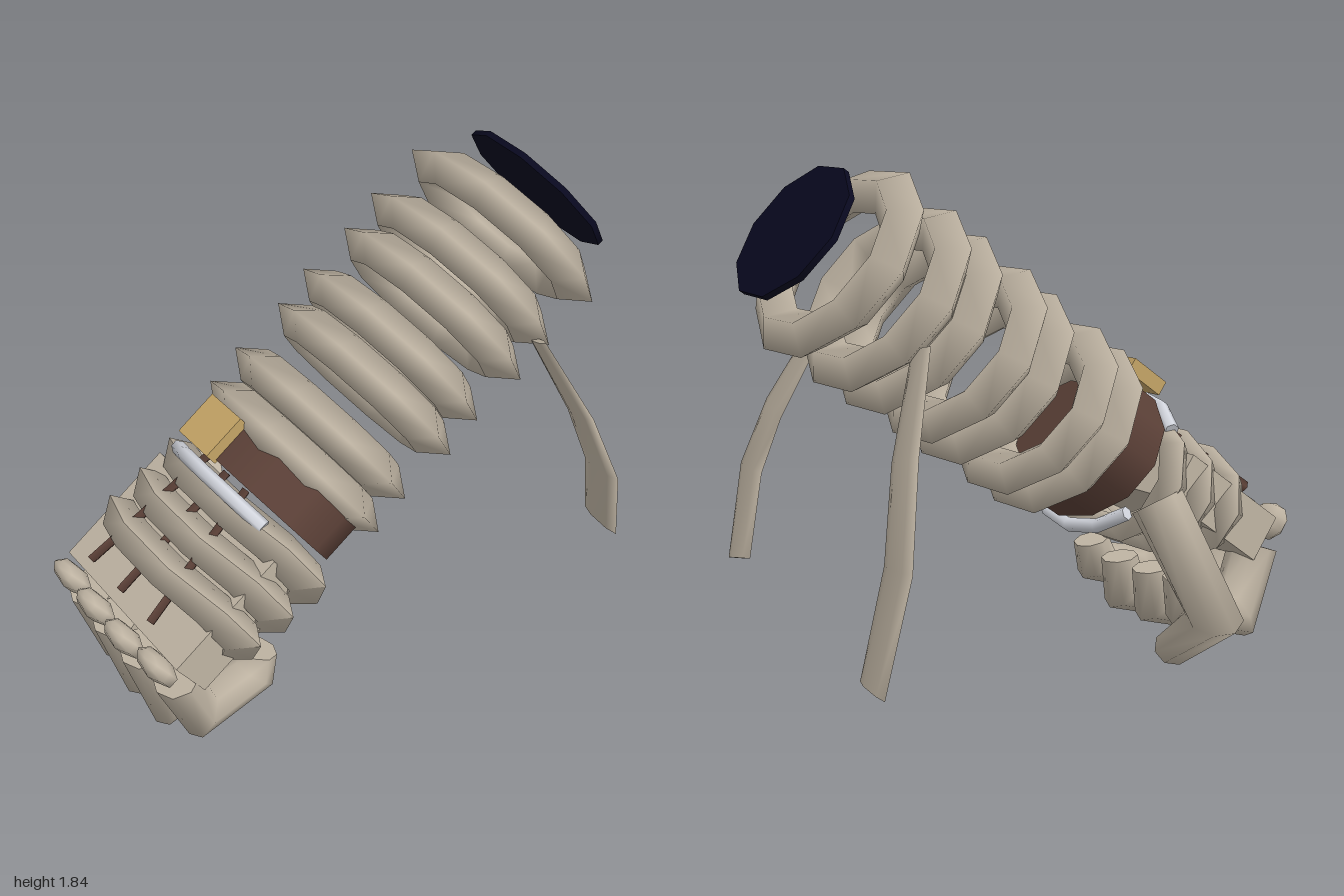
import * as THREE from 'three';

const TILT = THREE.MathUtils.degToRad(35); // slope of the forearm
const V = (a) => new THREE.Vector3(...a);

// Mitred low-poly sweep along a polyline; each section has half sizes [w, h]
function sweep(points, sizes, side, sides) {
  const path = points.map(V), pos = [], idx = [];
  const dirs = path.slice(1).map((p, i) => p.clone().sub(path[i]).normalize());
  path.forEach((p, i) => {
    const d0 = dirs[Math.max(0, i - 1)], d1 = dirs[Math.min(dirs.length - 1, i)];
    const t = d0.clone().add(d1).normalize();
    const mitre = 1 / Math.max(0.6, t.dot(d1));
    const s = side.clone().addScaledVector(t, -side.dot(t)).normalize();
    const up = t.clone().cross(s);
    const [w, h] = sizes[i];
    for (let k = 0; k < sides; k++) {
      const a = (k / sides) * Math.PI * 2;
      const q = p.clone().addScaledVector(s, Math.cos(a) * w).addScaledVector(up, Math.sin(a) * h * mitre);
      pos.push(q.x, q.y, q.z);
    }
  });
  const n = path.length;
  for (let i = 0; i < n - 1; i++) {
    for (let k = 0; k < sides; k++) {
      const k1 = (k + 1) % sides;
      const a = i * sides + k, b = i * sides + k1, c = b + sides, d = a + sides;
      idx.push(a, b, c, a, c, d);
    }
  }
  // end caps with their own vertices keep a sharp rim
  for (const [row, flip] of [[0, true], [n - 1, false]]) {
    const base = pos.length / 3;
    for (let k = 0; k < sides; k++) {
      const o = (row * sides + k) * 3;
      pos.push(pos[o], pos[o + 1], pos[o + 2]);
    }
    for (let k = 1; k < sides - 1; k++) {
      idx.push(base, base + (flip ? k + 1 : k), base + (flip ? k : k + 1));
    }
  }
  const g = new THREE.BufferGeometry();
  g.setAttribute('position', new THREE.Float32BufferAttribute(pos, 3));
  g.setIndex(idx);
  g.computeVertexNormals();
  return g;
}

export function createModel() {
  const root = new THREE.Group();
  root.name = 'wrappedFist';
  const mat = (name, color) => {
    const m = new THREE.MeshStandardMaterial({ color });
    m.name = name;
    return m;
  };
  const cloth = mat('clothBeige', 0xbfb4a3);
  const leather = mat('leatherBrown', 0x5b4037);
  const brass = mat('brassGold', 0xc4a466);
  const silver = mat('paleSilver', 0xd3d6de);
  const navy = mat('darkNavy', 0x090920);

  function add(name, geo, material, p = [0, 0, 0], rx = 0, scale = [1, 1, 1]) {
    const m = new THREE.Mesh(geo, material);
    m.name = name;
    m.position.set(...p);
    m.rotation.x = rx;
    m.scale.set(...scale);
    root.add(m);
    return m;
  }

  // Forearm wraps: hollow rings set in pairs, [z, y] from elbow to wrist
  const armRing = new THREE.TorusGeometry(0.342, 0.104, 4, 10);
  [[-0.7, 1.54], [-0.53, 1.415], [-0.4, 1.325], [-0.23, 1.21], [-0.108, 1.12], [0.07, 0.995], [0.19, 0.91]]
    .forEach(([z, y], i) => {
      const s = 1 - i * 0.008;
      add('forearmWrap', armRing, cloth, [i % 2 ? 0.005 : 0.02, y, z], TILT, [s, 0.835 * s, 0.7]);
    });

  // Elbow disc, turned slightly
  const disc = new THREE.CylinderGeometry(1, 1, 1, 10).rotateY(Math.PI / 10).rotateX(Math.PI / 2).rotateZ(0.06);
  add('elbowDisc', disc, navy, [0.02, 1.642, -0.853], TILT, [0.325, 0.257, 0.022]).rotation.y = -0.04;

  // Wrist strap and buckle
  const band = new THREE.CylinderGeometry(1, 1, 1, 12).rotateX(Math.PI / 2);
  add('wristStrap', band, leather, [0.02, 0.853, 0.282], TILT, [0.365, 0.277, 0.165]);
  add('buckle', new THREE.BoxGeometry(0.18, 0.055, 0.17), brass, [-0.063, 1.088, 0.458], TILT);

  // Silver bars over and under the wrist
  for (const s of [1, -1]) {
    const pts = [];
    for (let i = 0; i <= 4; i++) {
      const a = ((i - 2) / 2) * 0.9;
      pts.push([Math.sin(a) * 0.35 * s, Math.cos(a) * 0.275 * s, 0]);
    }
    const bar = sweep(pts, pts.map(() => [0.026, 0.026]), new THREE.Vector3(0, 0, 1), 6);
    add(s > 0 ? 'upperWristBar' : 'lowerWristBar', bar, silver, [0.015, 0.765, 0.392], TILT);
  }

  // Hand wraps: flatter rings whose sides sweep back towards the wrist
  const handRing = new THREE.TorusGeometry(0.39, 0.085, 4, 10);
  const hp = handRing.attributes.position;
  for (let i = 0; i < hp.count; i++) hp.setZ(i, hp.getZ(i) - 0.07 * (hp.getX(i) / 0.39) ** 2);
  handRing.computeVertexNormals();
  [[0.725, 0.585], [0.595, 0.645], [0.465, 0.715]].forEach(([z, y], i) => {
    add('handWrap', handRing, cloth, [0.025, y, z], 0.36, [1, 0.49 + i * 0.03, 0.8]);
  });

  // Palm block
  add('palm', new THREE.BoxGeometry(0.74, 0.18, 0.48), cloth, [0.01, 0.618, 0.655], TILT);

  // Rods laid over the back of the hand, converging towards the wrist
  for (const s of [-1, 0, 1]) {
    const rod = sweep([[0.015 + s * 0.2, 0.64, 0.9], [0.015 + s * 0.12, 0.95, 0.46]],
      [[0.017, 0.022], [0.017, 0.022]], new THREE.Vector3(1, 0, 0), 4);
    add('handRod', rod, leather);
  }

  // Knuckles and curled fingers
  const knuckle = new THREE.SphereGeometry(1, 7, 5);
  [[-0.27, 0.02, 0], [-0.085, -0.01, 0.01], [0.11, -0.005, 0.01], [0.295, 0.07, -0.01]].forEach(([x, dy, dz]) => {
    add('knuckle', knuckle, cloth, [x, 0.52, 0.94 + dz], TILT, [0.1, 0.075, 0.045]);
    const finger = sweep(
      [[x, 0.44, 0.87 + dz], [x, 0.175 + dy, 0.785 + dz], [x, 0.235 + dy, 0.56], [x, 0.365 + dy * 0.4, 0.535]],
      [[0.098, 0.085], [0.095, 0.085], [0.088, 0.078], [0.075, 0.068]], new THREE.Vector3(1, 0, 0), 8);
    add('finger', finger, cloth);
  });

  // Thumb folded beneath the fingers
  add('thumb', sweep([[-0.36, 0.68, 0.35], [-0.55, 0.29, 0.46], [-0.18, 0.07, 0.575]],
    [[0.1, 0.095], [0.092, 0.09], [0.078, 0.07]], new THREE.Vector3(0, 0, 1), 8), cloth);

  // Loose cloth tails hanging from the forearm
  const tailSize = [[0.055, 0.01], [0.08, 0.013], [0.09, 0.014], [0.085, 0.012]];
  const tails = {
    leftTail: [[0.37, 1.28, -0.595], [0.49, 0.99, -0.715], [0.56, 0.77, -0.775], [0.505, 0.46, -0.855]],
    rightTail: [[-0.35, 1.28, -0.595], [-0.46, 0.95, -0.72], [-0.525, 0.62, -0.785], [-0.475, 0.23, -0.855]],
  };
  for (const [name, pts] of Object.entries(tails)) {
    add(name, sweep(pts, tailSize, new THREE.Vector3(1, 0, 0), 6), cloth);
  }

  return root;
}
